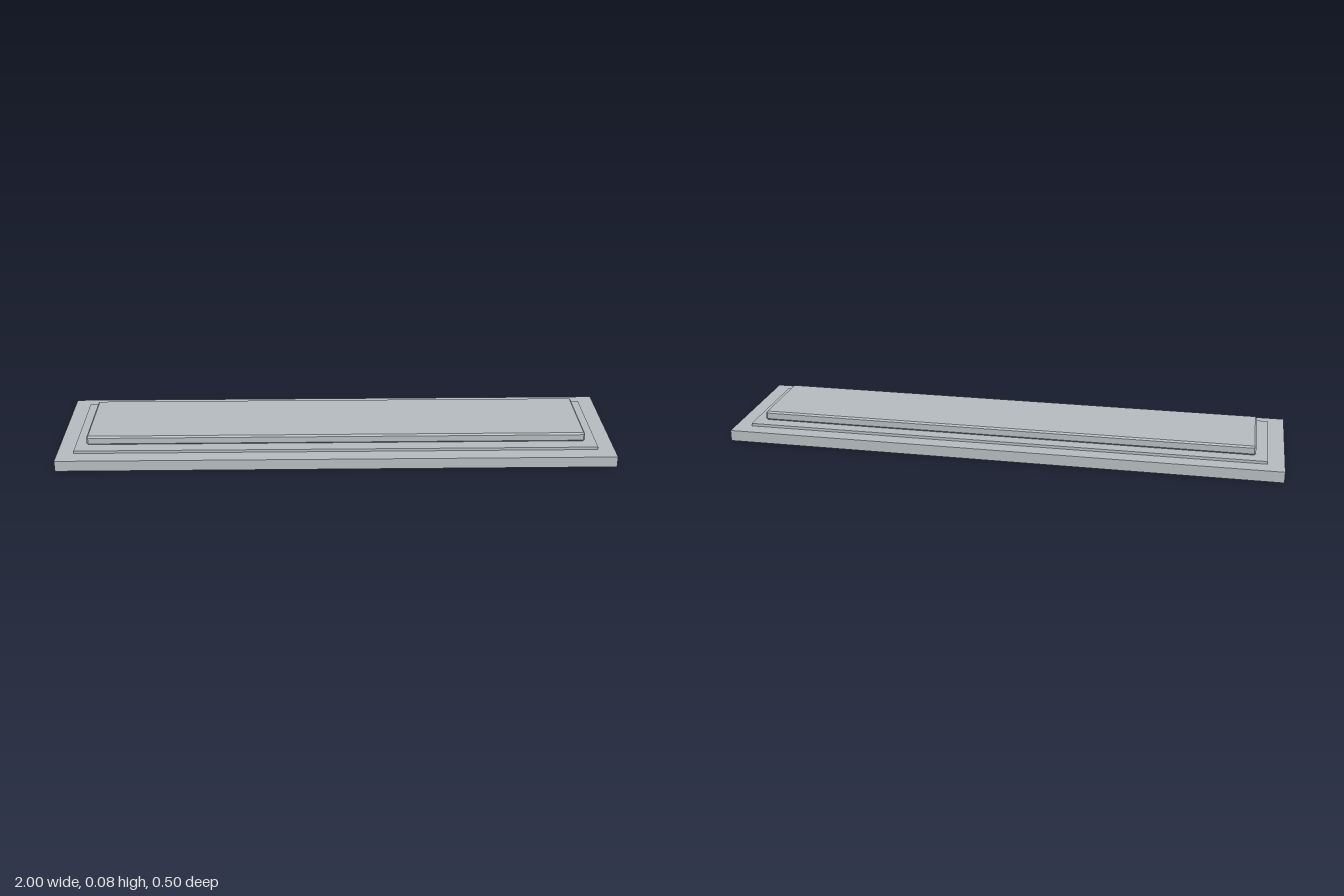
import * as THREE from 'three';
import { ConvexGeometry } from 'three/addons/geometries/ConvexGeometry.js';

const gray = new THREE.MeshStandardMaterial({ color: 0xb6bcc0 });
gray.name = 'light gray';

// Box with every edge cut by a flat chamfer c
function chamferBox(w, h, d, c) {
  const points = [];
  for (const sx of [-1, 1]) for (const sy of [-1, 1]) for (const sz of [-1, 1]) {
    const x = w / 2, y = h / 2, z = d / 2;
    points.push(
      new THREE.Vector3(sx * x, sy * (y - c), sz * (z - c)),
      new THREE.Vector3(sx * (x - c), sy * y, sz * (z - c)),
      new THREE.Vector3(sx * (x - c), sy * (y - c), sz * z));
  }
  return new ConvexGeometry(points);
}

export function createModel() {
  const group = new THREE.Group();
  group.name = 'steppedPlate';

  // Place a part with its underside at the given height
  const add = (name, geometry, bottom, height) => {
    const mesh = new THREE.Mesh(geometry, gray);
    mesh.name = name;
    mesh.position.y = bottom + height / 2;
    group.add(mesh);
  };

  add('basePlate', new THREE.BoxGeometry(2, 0.04, 0.5), 0, 0.04);
  add('middleStep', new THREE.BoxGeometry(1.88, 0.01, 0.384), 0.04, 0.01);
  add('topSlab', chamferBox(1.8, 0.034, 0.298, 0.006), 0.05, 0.034);

  return group;
}
